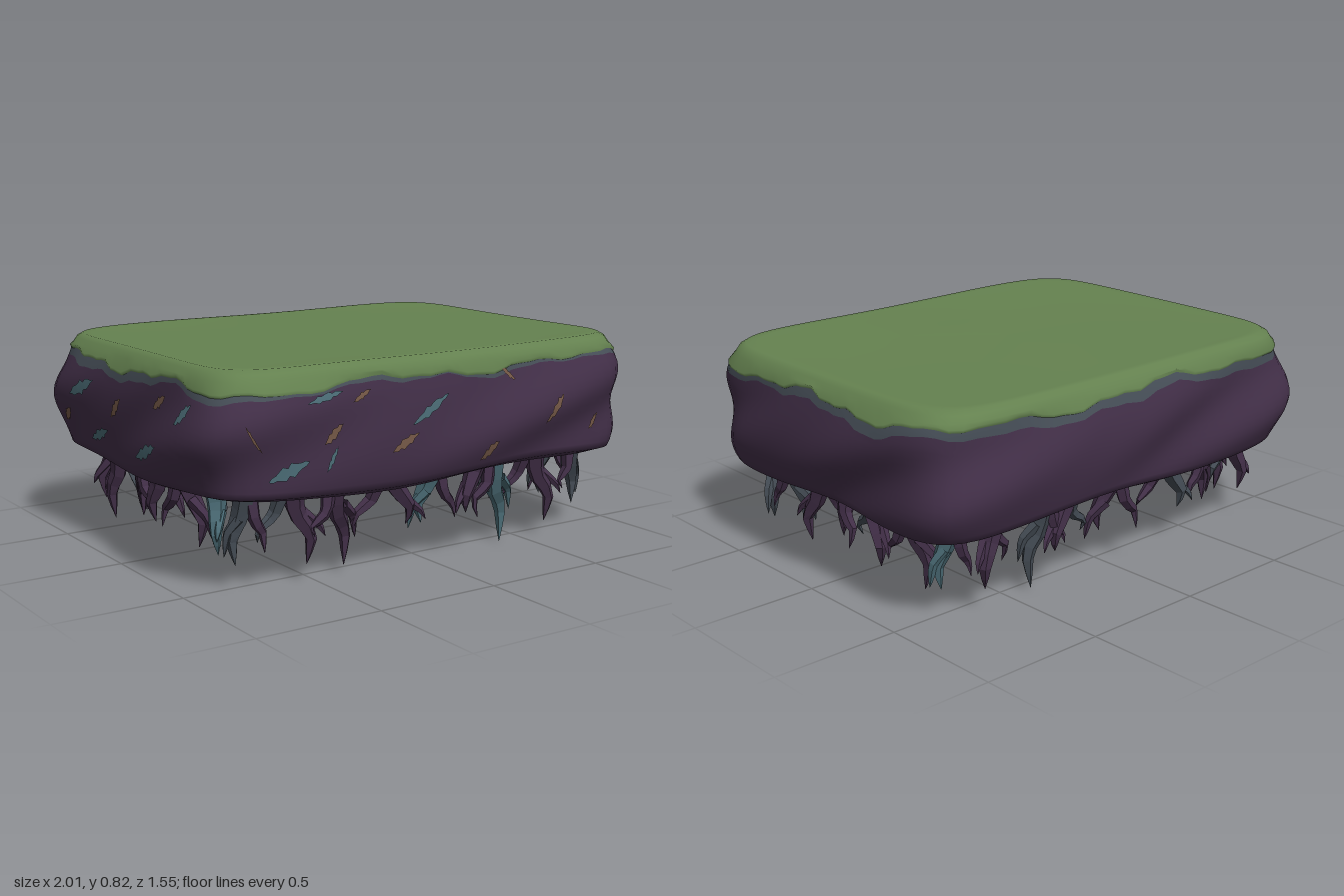
import * as THREE from 'three';

const mat = (name, color, side = THREE.FrontSide) => {
  const m = new THREE.MeshStandardMaterial({ color, side });
  m.name = name;
  return m;
};

// Rounded-rectangle outline point at angle t
function outline(t, a, b, n = 8) {
  const c = Math.cos(t), s = Math.sin(t);
  const r = Math.pow(Math.abs(c) ** n + Math.abs(s) ** n, -1 / n);
  return [a * c * r, b * s * r];
}

// Point on the earth wall: a bulge with diagonal twisted folds
function wall(t, y, lift = 0) {
  const s = THREE.MathUtils.clamp((y - 0.34) / 0.44, 0, 1);
  const bulge = Math.sin(Math.PI * s);
  const fold = 0.021 * Math.cos(5 * t + 11 * y) + 0.01 * Math.sin(9 * t + 16 * y + 1);
  const d = 0.045 * Math.pow(bulge, 0.7) + fold * bulge + lift;
  const [x, z] = outline(t, 0.935 + d, 0.705 + d, 8);
  return [x, y, z];
}

// Lower edge of the grass, and of the mossy band under it
const grassEdge = t => 0.75 + 0.014 * Math.sin(7 * t + 1) + 0.009 * Math.sin(17 * t) + 0.004 * Math.sin(41 * t);
const bandEdge = t => grassEdge(t) - 0.032 + 0.022 * Math.max(0, Math.sin(t)) - 0.006 * Math.sin(11 * t);

// Skin a list of closed rows, each row a function of angle
function skin(rows, n = 144) {
  const pos = [], idx = [];
  rows.forEach((row, i) => {
    for (let j = 0; j < n; j++) {
      pos.push(...row(j / n * Math.PI * 2));
      if (i === rows.length - 1) continue;
      const k = (j + 1) % n, a = i * n + j, b = i * n + k;
      idx.push(a, b, a + n, b, b + n, a + n);
    }
  });
  const g = new THREE.BufferGeometry();
  g.setAttribute('position', new THREE.Float32BufferAttribute(pos, 3));
  g.setIndex(idx);
  g.computeVertexNormals();
  return g;
}

// Tapered, kinked root along a few points
function rootGeometry(points, radius) {
  const steps = 7, sides = 5;
  const curve = new THREE.CatmullRomCurve3(points, false, 'catmullrom', 0.2);
  const g = new THREE.TubeGeometry(curve, steps, radius, sides, false);
  const p = g.attributes.position, v = new THREE.Vector3();
  for (let i = 0; i < p.count; i++) {
    const u = Math.floor(i / (sides + 1)) / steps;
    const c = curve.getPointAt(u);
    v.fromBufferAttribute(p, i).sub(c).multiplyScalar(1.0 - 0.5 * u - 0.48 * u ** 4).add(c);
    p.setXYZ(i, v.x, v.y, v.z);
  }
  const flat = g.toNonIndexed();
  flat.computeVertexNormals();
  return flat;
}

export function createModel() {
  const group = new THREE.Group();
  const D = THREE.DoubleSide;
  const grass = mat('grass green', 0x658250, D);
  const moss = mat('slate moss', 0x454d56, D);
  const soil = mat('purple earth', 0x422f48, D);
  const teal = mat('teal', 0x4b6c76, D);
  const brown = mat('brown', 0x775a48, D);
  const add = (name, geometry, material) => {
    const m = new THREE.Mesh(geometry, material);
    m.name = name;
    group.add(m);
  };

  // Grass slab with gentle unevenness
  const topRow = (k, y) => t => {
    const [x, z] = outline(t, 0.93 * k, 0.71 * k, 8);
    return [x, y + 0.005 * z + 0.005 * k * Math.sin(5 * x + 1) * Math.cos(3 * z), z];
  };
  add('grassTop', skin([
    topRow(0.001, 0.82), topRow(0.4, 0.82), topRow(0.75, 0.82), topRow(0.92, 0.823),
    topRow(0.965, 0.823), topRow(0.99, 0.808), topRow(1.004, 0.785),
    t => wall(t, grassEdge(t) + 0.012, 0.008), t => wall(t, grassEdge(t)),
  ]), grass);

  // Mossy band between grass and earth
  add('mossBand', skin([0, 0.5, 1].map(u => t =>
    wall(t, THREE.MathUtils.lerp(grassEdge(t), bandEdge(t), u)))), moss);

  // Earth wall, rolling under to an open lip
  const bottom = t => 0.365 + 0.014 * Math.sin(5 * t + 2);
  const earth = [];
  for (let i = 0; i <= 14; i++) {
    earth.push(t => wall(t, THREE.MathUtils.lerp(bandEdge(t), bottom(t), i / 14)));
  }
  [[0.9, 0.67, -0.022, 7], [0.85, 0.625, -0.027, 5], [0.8, 0.58, -0.01, 4], [0.785, 0.565, 0.025, 4]]
    .forEach(([a, b, dy, n]) => earth.push(t => {
      const [x, z] = outline(t, a, b, n);
      return [x, bottom(t) + dy, z];
    }));
  add('earthWall', skin(earth), soil);

  // Ragged painted streaks on the front and the -x side: from (u,y) to (u,y), half width
  const streak = (onFront, u0, y0, u1, y1, w, material) => {
    const pos = [], idx = [], n = 10;
    for (let i = 0; i <= n; i++) {
      const f = i / n;
      const h = w * Math.sin(Math.PI * f) * (1 + 0.35 * Math.sin(i * 2.4 + u0 * 9));
      for (const q of [1, 0, -1]) {
        const u = THREE.MathUtils.lerp(u0, u1, f) - q * h * 0.3;
        const y = THREE.MathUtils.lerp(y0, y1, f) + q * h;
        const t = onFront ? Math.atan2(1, u / 0.97) : Math.atan2(u / 0.74, -1);
        pos.push(...wall(t, y, 0.005));
      }
      if (i < n) for (const k of [0, 1]) {
        const a = i * 3 + k;
        idx.push(a, a + 1, a + 3, a + 1, a + 4, a + 3);
      }
    }
    const g = new THREE.BufferGeometry();
    g.setAttribute('position', new THREE.Float32BufferAttribute(pos, 3));
    g.setIndex(idx);
    g.computeVertexNormals();
    add('wallStreak', g, material);
  };
  [
    [-0.8, 0.44, -0.62, 0.5, 0.022, teal], [-0.63, 0.705, -0.48, 0.735, 0.012, teal],
    [-0.18, 0.58, -0.01, 0.68, 0.016, teal], [-0.55, 0.45, -0.5, 0.54, 0.012, teal],
    [-0.89, 0.65, -0.82, 0.55, 0.018, brown], [-0.56, 0.55, -0.48, 0.62, 0.016, brown],
    [-0.27, 0.49, -0.15, 0.55, 0.016, brown], [0.25, 0.75, 0.31, 0.7, 0.016, brown],
    [0.42, 0.52, 0.5, 0.63, 0.018, brown], [0.13, 0.41, 0.2, 0.48, 0.02, brown],
    [0.73, 0.46, 0.78, 0.52, 0.016, brown], [-0.44, 0.69, -0.36, 0.73, 0.01, brown],
  ].forEach(s => streak(true, ...s));
  [
    [-0.42, 0.6, -0.24, 0.68, 0.022, teal], [0.1, 0.44, 0.3, 0.52, 0.022, teal],
    [-0.3, 0.44, -0.14, 0.5, 0.018, teal], [0.42, 0.62, 0.52, 0.7, 0.018, teal],
    [-0.1, 0.56, -0.02, 0.64, 0.018, brown], [0.22, 0.64, 0.32, 0.7, 0.016, brown],
    [-0.52, 0.48, -0.44, 0.54, 0.016, brown],
  ].forEach(s => streak(false, ...s));

  // Hanging roots: base x, base z, tip y, sideways lean, material
  const V = (x, y, z) => new THREE.Vector3(x, y, z);
  const roots = [
    [-0.77, 0.54, 0.1, -0.03, moss], [-0.6, 0.57, 0.08, 0.06, soil], [-0.42, 0.58, 0.04, 0.06, soil],
    [-0.18, 0.59, 0.17, 0.07, soil], [0.03, 0.59, 0.15, -0.04, teal], [0.24, 0.59, 0.17, -0.06, soil],
    [0.33, 0.58, 0.01, 0.06, teal], [0.54, 0.57, 0.07, 0.06, soil], [0.77, 0.54, 0.1, 0.04, moss],
    [-0.75, -0.55, 0.12, -0.04, soil], [-0.53, -0.57, 0.12, -0.05, soil], [-0.3, -0.59, 0.16, -0.06, moss],
    [0.0, -0.59, 0.16, 0.05, soil], [0.25, -0.59, 0.16, 0.07, soil], [0.36, -0.58, 0.02, 0.04, moss],
    [0.6, -0.57, 0.1, 0.05, soil], [0.77, -0.54, 0.12, 0.03, teal],
    [-0.8, 0.4, 0.12, 0.03, teal], [-0.81, 0.18, 0.1, 0.06, soil], [-0.81, 0.0, 0.14, -0.04, soil],
    [-0.81, -0.16, 0.12, -0.06, soil], [-0.8, -0.38, 0.07, -0.04, soil],
    [0.8, 0.39, 0.11, -0.04, moss], [0.81, 0.17, 0.09, 0.06, soil], [0.81, 0.02, 0.17, 0.04, soil],
    [0.81, -0.14, 0.12, -0.07, soil], [0.8, -0.36, 0.08, -0.05, soil],
  ];
  roots.forEach(([x, z, tip, lean, m], i) => {
    const alongX = Math.abs(z) > 0.5;
    const at = (side, y, out) => alongX
      ? V(x + side, y, z + out * Math.sign(z)) : V(x + out * Math.sign(x), y, z + side);
    const mid = (0.36 + tip) / 2, kink = i % 2 ? 0.03 : -0.03;
    add('hangingRoot', rootGeometry([
      at(0, 0.4, 0.02), at(lean * 0.3, mid + 0.06, kink * 0.3),
      at(lean * 1.2, mid - 0.03, kink), at(lean, tip, kink * 0.6)], 0.045), m);
    // Two thinner side branches
    add('rootBranch', rootGeometry([
      at(-lean * 0.4, 0.39, 0.01), at(-lean * 0.8, 0.27, -kink),
      at(-lean * 1.9, 0.22, -kink), at(-lean * 1.8, 0.15 + (i % 3) * 0.02, -kink * 1.6)], 0.033),
      i % 4 === 1 ? moss : soil);
    add('rootBranch', rootGeometry([
      at(lean * 0.7, 0.28, 0), at(lean * 1.8, 0.22, kink), at(lean * 2.1, 0.13 + (i % 2) * 0.05, kink * 1.4)],
      0.024), m);
  });
  return group;
}
